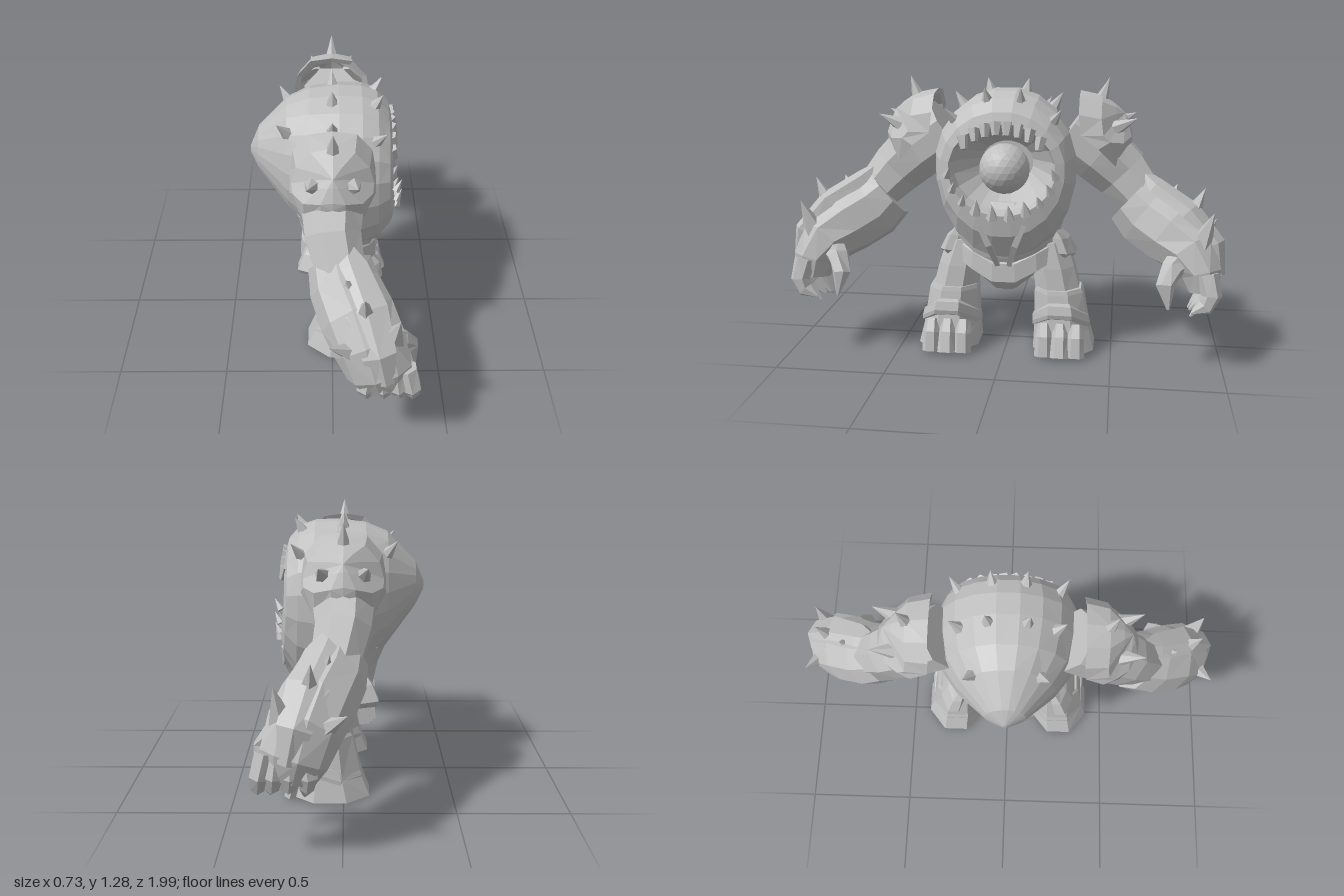
import * as THREE from 'three';

const V = (x, y, z) => new THREE.Vector3(x, y, z);
const stone = new THREE.MeshStandardMaterial({ color: 0xc0c0c0, flatShading: true });
stone.name = 'stone';
const stoneShell = stone.clone();
stoneShell.name = 'stone shell';
stoneShell.side = THREE.DoubleSide;

// Swap two corners of each triangle
function flip(geo) {
  const p = geo.attributes.position, a = V(), b = V();
  for (let i = 0; i < p.count; i += 3) {
    a.fromBufferAttribute(p, i + 1);
    b.fromBufferAttribute(p, i + 2);
    p.setXYZ(i + 1, b.x, b.y, b.z);
    p.setXYZ(i + 2, a.x, a.y, a.z);
  }
  geo.computeVertexNormals();
  return geo;
}

// Skin a list of point rings, facing outward, with optional end caps
function loft(rings, caps = true) {
  const tri = [], n = rings[0].length;
  for (let i = 0; i + 1 < rings.length; i++) {
    for (let j = 0; j < n; j++) {
      const k = (j + 1) % n, A = rings[i], B = rings[i + 1];
      if ((i + j) % 2) tri.push(A[j], A[k], B[j], A[k], B[k], B[j]);
      else tri.push(A[j], A[k], B[k], A[j], B[k], B[j]);
    }
  }
  if (caps) [rings[0], rings[rings.length - 1]].forEach((r, e) => {
    const c = r.reduce((s, p) => s.add(p), V(0, 0, 0)).divideScalar(n);
    for (let j = 0; j < n; j++) {
      const k = (j + 1) % n;
      if (e) tri.push(r[j], r[k], c); else tri.push(r[k], r[j], c);
    }
  });
  let vol = 0;
  for (let i = 0; i < tri.length; i += 3) vol += tri[i].dot(V().crossVectors(tri[i + 1], tri[i + 2]));
  const geo = new THREE.BufferGeometry().setFromPoints(tri);
  if (vol < 0) flip(geo); else geo.computeVertexNormals();
  return geo;
}

const ring = (n, f) => Array.from({ length: n }, (_, i) => f((i + 0.5) / n * Math.PI * 2));

// Limb along stations [x, y, z, radius toward front, radius across]
function limb(st, n = 8) {
  const c = st.map(s => V(s[0], s[1], s[2]));
  return loft(st.map((s, i) => {
    const t = c[Math.min(i + 1, c.length - 1)].clone().sub(c[Math.max(i - 1, 0)]).normalize();
    const u = V(1, 0, 0).addScaledVector(t, -t.x).normalize(), v = V().crossVectors(t, u);
    return ring(n, a => c[i].clone().addScaledVector(u, Math.cos(a) * s[3]).addScaledVector(v, Math.sin(a) * s[4]));
  }));
}

// Upright part with rings [y, back x, front x, inner z, outer z]; rise lifts its front
function column(rows, n = 8, rise = 0) {
  return loft(rows.map(([y, xb, xf, z0, z1]) => ring(n, a => {
    const c = Math.cos(a) * 1.07, s = Math.sin(a) * 1.07;
    return V((xb + xf) / 2 + c * (xf - xb) / 2, y + rise * Math.max(c, 0), (z0 + z1) / 2 + s * (z1 - z0) / 2);
  })));
}

// Cone from a base point to a tip, or a blunt peg if r2 is given
function spike(base, tip, r, n = 6, r2 = 0) {
  const a = V(...base), d = V(...tip).sub(a), len = d.length();
  const geo = new THREE.CylinderGeometry(r2, r, len, n).translate(0, len / 2, 0);
  geo.applyQuaternion(new THREE.Quaternion().setFromUnitVectors(V(0, 1, 0), d.normalize()));
  return geo.translate(a.x, a.y, a.z);
}

export function createModel() {
  const model = new THREE.Group();
  model.name = 'golem';
  const add = (name, geo, mat = stone) => {
    const m = new THREE.Mesh(geo, mat);
    m.name = name;
    model.add(m);
  };
  const pair = (name, geo, mat) => {
    add(name + 'Left', geo, mat);
    const g = geo.index ? geo.toNonIndexed() : geo.clone();
    add(name + 'Right', flip(g.scale(1, 1, -1)), mat);
  };

  // Humped body, folded inward at the front as a round mouth: [x, top, bottom, half width, lower lip offset]
  const sections = [
    [-0.37, 0.94, 0.9, 0.008, 0], [-0.33, 1.035, 0.82, 0.09, 0], [-0.2, 1.17, 0.64, 0.22, 0],
    [-0.1, 1.21, 0.52, 0.29, 0], [0.03, 1.225, 0.43, 0.32, 0], [0.13, 1.22, 0.43, 0.325, 0],
    [0.2, 1.195, 0.47, 0.305, 0.02], [0.25, 1.14, 0.58, 0.28, 0.03], [0.265, 1.09, 0.68, 0.24, 0.03],
    [0.2, 1.065, 0.69, 0.225, 0.02], [0.05, 0.98, 0.78, 0.12, 0],
  ];
  add('body', loft(sections.map(([x, top, bot, w, lip]) => {
    const cy = x < -0.3 ? (top + bot) / 2 : 0.88;
    return ring(20, a => {
      const s = Math.sin(a);
      return V(x + lip * Math.max(0, -s), cy + s * (s > 0 ? top - cy : cy - bot), w * Math.cos(a));
    });
  })));
  add('waist', column([[0.72, -0.18, 0.18, -0.2, 0.2], [0.66, -0.19, 0.24, -0.255, 0.255], [0.56, -0.15, 0.23, -0.235, 0.235],
    [0.46, -0.13, 0.2, -0.21, 0.21], [0.36, -0.1, 0.16, -0.15, 0.15], [0.28, 0, 0.12, -0.05, 0.05]], 14));
  pair('bellyRidge', limb([[0.27, 0.64, 0.1, 0.02, 0.02], [0.255, 0.54, 0.06, 0.025, 0.02], [0.19, 0.42, 0.025, 0.02, 0.015]], 4));

  // Orb and teeth in the mouth
  add('mouthOrb', new THREE.IcosahedronGeometry(0.115, 3).translate(0.16, 0.87, 0));
  for (let i = 0; i < 8; i++) {
    const z = (i - 3.5) * 0.05, y = 0.88 + 0.205 * Math.sqrt(1 - (z / 0.24) ** 2);
    add('upperTooth', spike([0.255, y + 0.01, z], [0.275, y - 0.045, z * 0.94], 0.028, 5, 0.016));
  }
  for (let i = 0; i < 10; i++) {
    const a = Math.PI * (1.04 + i * 0.92 / 9), c = Math.cos(a), s = Math.sin(a);
    const big = i > 2 && i < 7 ? 1.4 : 1;
    add('lowerTooth', spike([0.275 - s * 0.015, 0.88 + s * 0.215, c * 0.245],
      [0.305 - s * 0.01, 0.88 + s * 0.215 + 0.05 * big, c * 0.225], 0.02 * big, 5));
  }

  // Back spikes
  [[[0, 1.19, 0.08], [0, 1.265, 0.095]], [[0, 1.12, 0.2], [0, 1.2, 0.25]],
    [[0.18, 1.17, 0.07], [0.22, 1.24, 0.08]], [[0.18, 1.08, 0.21], [0.23, 1.15, 0.26]],
    [[-0.19, 1.08, 0.14], [-0.24, 1.15, 0.18]]].forEach(([b, t]) => pair('bodySpike', spike(b, t, 0.032)));

  // Belt, dipping to a point at the front and back
  const beltRing = (k, y0, dy) => ring(16, a => {
    const s = Math.sin(a);
    return V(0.03 + 0.17 * k * Math.cos(a), y0 + dy * Math.abs(s), 0.25 * k * s);
  });
  add('belt', loft([beltRing(0.88, 0.43, 0.12), beltRing(1.06, 0.41, 0.12), beltRing(1.1, 0.32, 0.14), beltRing(0.8, 0.27, 0.15)]));
  pair('hipGuard', column([[0.55, -0.1, 0.12, 0.19, 0.25], [0.51, -0.13, 0.13, 0.19, 0.29],
    [0.44, -0.16, 0.14, 0.2, 0.325], [0.41, -0.15, 0.12, 0.21, 0.3]], 8, 0.03));
  for (let i = -2; i <= 2; i++) {
    add('rearFlap', new THREE.BoxGeometry(0.05, 0.21 - Math.abs(i) * 0.015, 0.05)
      .rotateZ(-0.08).translate(-0.12 + Math.abs(i) * 0.015, 0.365, i * 0.055));
  }

  // Legs with flared boots, slanted shin bands and toes
  pair('leg', column([[0.52, -0.07, 0.14, 0.1, 0.28], [0.4, -0.05, 0.16, 0.125, 0.32], [0.28, -0.04, 0.17, 0.14, 0.35]]));
  pair('boot', column([[0.3, -0.03, 0.18, 0.14, 0.355], [0.28, -0.04, 0.185, 0.135, 0.365],
    [0.1, -0.08, 0.215, 0.135, 0.395], [0, -0.12, 0.24, 0.13, 0.42]]));
  pair('shinBand', column([[0.075, -0.085, 0.235, 0.13, 0.4], [0.095, -0.085, 0.24, 0.128, 0.4],
    [0.135, -0.07, 0.23, 0.13, 0.39], [0.14, -0.05, 0.2, 0.15, 0.37]], 8, 0.11));
  [0.19, 0.265, 0.34].forEach((z, i) => pair('toe', limb([[0.19, 0.14, z, 0.03, 0.03],
    [0.225, 0.09, z, 0.035, 0.038], [0.26 - Math.abs(i - 1) * 0.015, 0.003, z, 0.03, 0.042]], 6)));

  // Arms
  pair('upperArm', limb([[0, 1.03, 0.28, 0.14, 0.15], [0, 0.93, 0.42, 0.145, 0.15],
    [0, 0.83, 0.53, 0.125, 0.135], [0.03, 0.72, 0.63, 0.11, 0.11]]));
  pair('forearm', limb([[0.03, 0.72, 0.575, 0.135, 0.14], [0.05, 0.655, 0.65, 0.15, 0.165],
    [0.1, 0.59, 0.76, 0.16, 0.165], [0.15, 0.52, 0.845, 0.155, 0.145],
    [0.19, 0.42, 0.895, 0.14, 0.1], [0.21, 0.34, 0.895, 0.11, 0.065]], 9));
  pair('forearmCrest', limb([[0.04, 0.86, 0.6, 0.02, 0.015], [0.07, 0.78, 0.68, 0.08, 0.05],
    [0.13, 0.68, 0.83, 0.1, 0.06], [0.18, 0.55, 0.935, 0.08, 0.06], [0.21, 0.42, 0.96, 0.04, 0.035]], 6));
  [[[0.08, 0.7, 0.74], [0.05, 0.8, 0.78]], [[0.13, 0.65, 0.83], [0.12, 0.8, 0.9]],
    [[0.23, 0.57, 0.88], [0.26, 0.72, 0.93]], [[0.09, 0.53, 0.9], [-0.02, 0.62, 0.97]]]
    .forEach(([b, t]) => pair('forearmSpike', spike(b, t, 0.055, 5)));

  // Curled clawed fingers and thumb
  [[0.13, 0.24], [0.2, 0.255], [0.265, 0.25], [0.32, 0.285]].forEach(([x, y]) => {
    pair('finger', limb([[x * 0.8 + 0.04, 0.45, 0.91, 0.045, 0.05], [x, 0.36, 0.93, 0.042, 0.045],
      [x + 0.008, 0.31, 0.905, 0.032, 0.036], [x + 0.02, y, 0.845, 0.005, 0.005]], 6));
  });
  pair('thumb', limb([[0.2, 0.5, 0.81, 0.07, 0.07], [0.28, 0.46, 0.755, 0.05, 0.05],
    [0.325, 0.4, 0.73, 0.042, 0.042], [0.35, 0.3, 0.745, 0.006, 0.006]], 6));

  // Arched shoulder pads, notched at the outside; each half ring runs from top to outer middle
  const padRing = half => [...half, ...half.slice(1, -1).reverse().map(([x, y, z]) => [-x, y, z])].map(p => V(...p));
  const padRim = padRing([[0, 1.21, 0.33], [0.1, 1.195, 0.33], [0.165, 1.12, 0.33], [0.18, 1.03, 0.34],
    [0.18, 0.97, 0.42], [0.12, 0.88, 0.5], [0.05, 0.965, 0.56], [0, 0.985, 0.57]]);
  const padMid = padRing([[0, 1.19, 0.43], [0.09, 1.17, 0.43], [0.15, 1.1, 0.43], [0.17, 1.03, 0.44],
    [0.165, 1.0, 0.47], [0.12, 0.99, 0.53], [0.05, 1.01, 0.565], [0, 1.02, 0.57]]);
  const padCrown = padMid.map(p => p.clone().lerp(V(0, 1.12, 0.535), 0.6));
  const padLip = padRim.map(p => p.clone().lerp(V(0, 1.03, 0.4), 0.14));
  pair('shoulderPad', loft([padLip, padRim, padMid, padCrown, padRim.map(() => V(0, 1.11, 0.535))], false), stoneShell);
  [[[0, 1.15, 0.42], [0, 1.27, 0.46]], [[-0.08, 1.05, 0.49], [-0.1, 1.1, 0.59]], [[0.08, 1.05, 0.49], [0.1, 1.1, 0.59]]]
    .forEach(([b, t]) => pair('padSpike', spike(b, t, 0.038)));

  return model;
}
